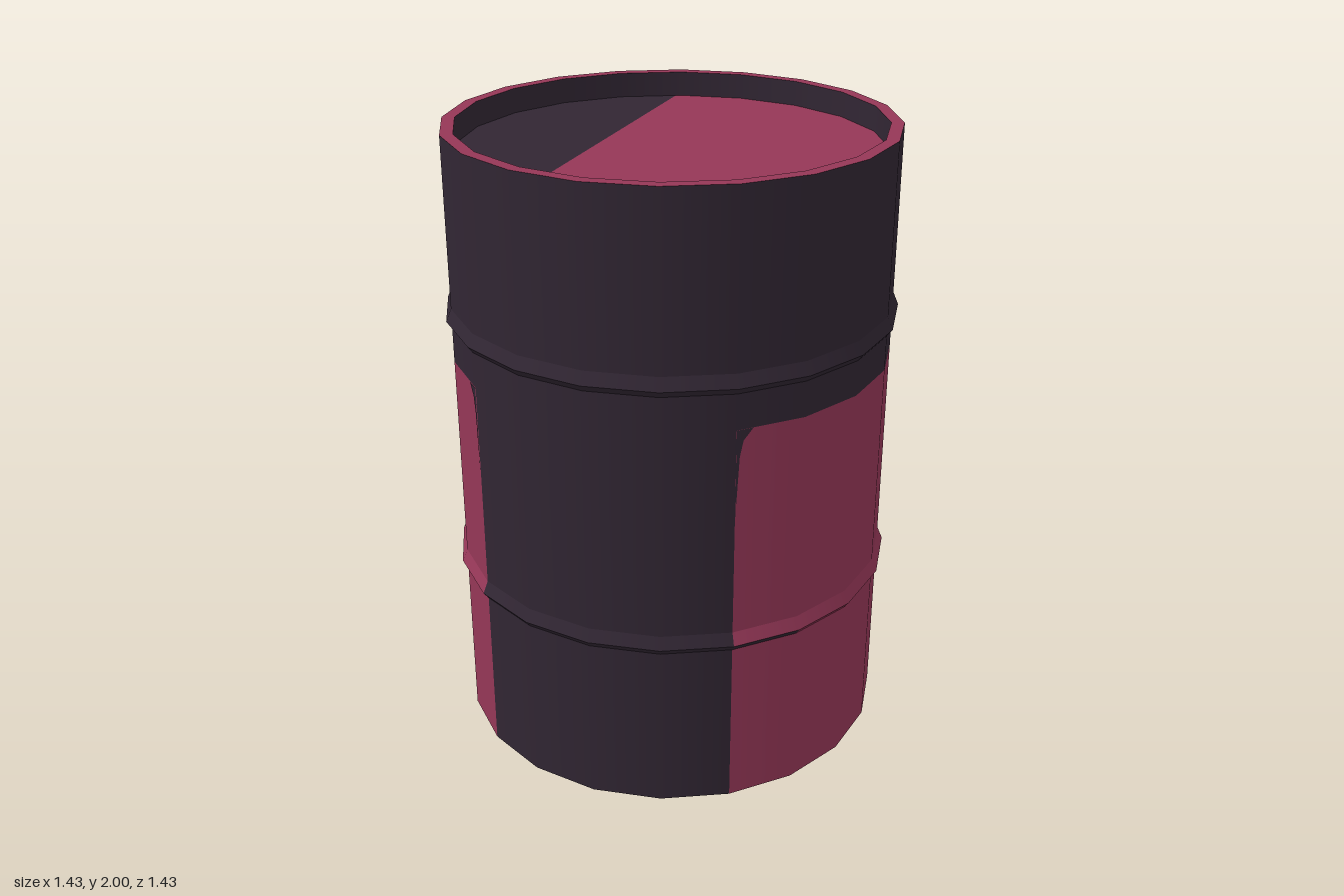
import * as THREE from 'three';

const SIDES = 20;
const STEP = (Math.PI * 2) / SIDES;
const R = 0.7;          // body radius
const RIM = 0.66;       // inner radius of the end rims
const RIDGE = 0.717;    // radius at the crest of the hoops
const RECESS = 0.08;    // depth of both ends below their rims
const PANEL_TOP = 1.285;

export function createModel() {
  const barrel = new THREE.Group();
  barrel.name = 'barrel';

  const red = new THREE.MeshStandardMaterial({ color: 0x953757 });
  red.name = 'crimson';
  const dark = new THREE.MeshStandardMaterial({ color: 0x312633 });
  dark.name = 'darkPlum';

  function add(name, geometry, material) {
    const mesh = new THREE.Mesh(geometry, material);
    mesh.name = name;
    barrel.add(mesh);
    return mesh;
  }

  // One revolved strip between two profile points; sides count from +z towards +x
  function band(name, [r0, y0], [r1, y1], material, first = 0, count = SIDES) {
    const profile = [new THREE.Vector2(r0, y0), new THREE.Vector2(r1, y1)];
    return add(name, new THREE.LatheGeometry(profile, count, first * STEP, count * STEP), material);
  }

  // Runs of sides: coloured panels on +x and -x, dark stripes at front and back
  const panels = [2, 12];
  const stripes = [8, 18];
  function panelled(name, p0, p1) {
    for (const s of panels) band(name + 'Panel', p0, p1, red, s, 6);
    for (const s of stripes) band(name + 'Stripe', p0, p1, dark, s, 4);
  }

  // Lower wall with its hoop
  panelled('lowerWall', [R, 0], [R, 0.548]);
  for (const s of panels) {
    band('lowerHoopUnderside', [R, 0.548], [RIDGE, 0.57], red, s + 1, 4);
    for (const end of [s, s + 5]) band('lowerHoopDash', [R, 0.548], [RIDGE, 0.57], dark, end, 1);
  }
  for (const s of stripes) band('lowerHoopUnderside', [R, 0.548], [RIDGE, 0.57], dark, s, 4);
  panelled('lowerHoopTop', [RIDGE, 0.57], [R, 0.61]);
  panelled('middleWall', [R, 0.61], [R, PANEL_TOP]);

  // Upper wall with its hoop; four back sides of the underside are crimson
  band('collarWall', [R, PANEL_TOP], [R, 1.398], dark);
  band('upperHoopUnderside', [R, 1.398], [RIDGE, 1.42], dark, 11, 16);
  band('upperHoopRedMark', [R, 1.398], [RIDGE, 1.42], red, 7, 4);
  band('upperHoopTop', [RIDGE, 1.42], [R, 1.46], dark);
  band('upperWall', [R, 1.46], [R, 2], dark);

  // Rounded upper corners of the panels: thin dark pieces lying on a side
  const corner = [[0, 1.0], [0.05, 1.2], [0.1, 1.25], [0.24, PANEL_TOP], [0, PANEL_TOP]];
  function cornerPiece(side, flip) {
    const shape = new THREE.Shape(corner.map(([u, y]) => new THREE.Vector2(flip ? 1 - u : u, y)));
    const geometry = new THREE.ShapeGeometry(shape);
    const pos = geometry.attributes.position;
    const normal = geometry.attributes.normal;
    const a = side * STEP;
    const b = a + STEP;
    for (let i = 0; i < pos.count; i++) {
      const u = pos.getX(i);
      const x = THREE.MathUtils.lerp(Math.sin(a), Math.sin(b), u);
      const z = THREE.MathUtils.lerp(Math.cos(a), Math.cos(b), u);
      const length = Math.hypot(x, z);
      pos.setXYZ(i, x * (R + 0.0015), pos.getY(i), z * (R + 0.0015));
      normal.setXYZ(i, x / length, 0, z / length);
    }
    add('panelCorner', geometry, dark);
  }
  for (const s of panels) {
    cornerPiece(s, false);
    cornerPiece(s + 5, true);
  }

  // Rims and the recessed walls inside them
  band('topRim', [R, 2], [RIM, 2], red);
  band('topInnerWall', [RIM, 2], [RIM, 2 - RECESS], dark);
  band('bottomRim', [RIM, 0], [R, 0], red);
  band('bottomInnerWall', [RIM, RECESS], [RIM, 0], dark);
  band('bottomPlate', [0, RECESS], [RIM, RECESS], red);

  // Lid split by a straight line; (x, -z) outlines turned to face up
  const outline = [];
  for (let i = 0; i < SIDES; i++) {
    outline.push(new THREE.Vector2(RIM * Math.sin(i * STEP), RIM * Math.cos(i * STEP)));
  }
  const splitX = -0.22;
  const splitZ = 0.625;
  const cut = [new THREE.Vector2(splitX, -splitZ), new THREE.Vector2(splitX, splitZ)];
  const right = outline.filter((p) => p.x > splitX);
  const left = outline.filter((p) => p.x < splitX);
  const byAngle = (offset) => (p, q) =>
    ((Math.atan2(p.y, p.x) + offset) % (Math.PI * 2)) - ((Math.atan2(q.y, q.x) + offset) % (Math.PI * 2));
  function lidPart(name, points, offset, material) {
    const shape = new THREE.Shape([...points, ...cut].sort(byAngle(offset)));
    const lid = add(name, new THREE.ShapeGeometry(shape), material);
    lid.rotation.x = -Math.PI / 2;
    lid.position.y = 2 - RECESS;
  }
  lidPart('lidMain', right, Math.PI, red);
  lidPart('lidDarkSegment', left, Math.PI * 2, dark);

  return barrel;
}
